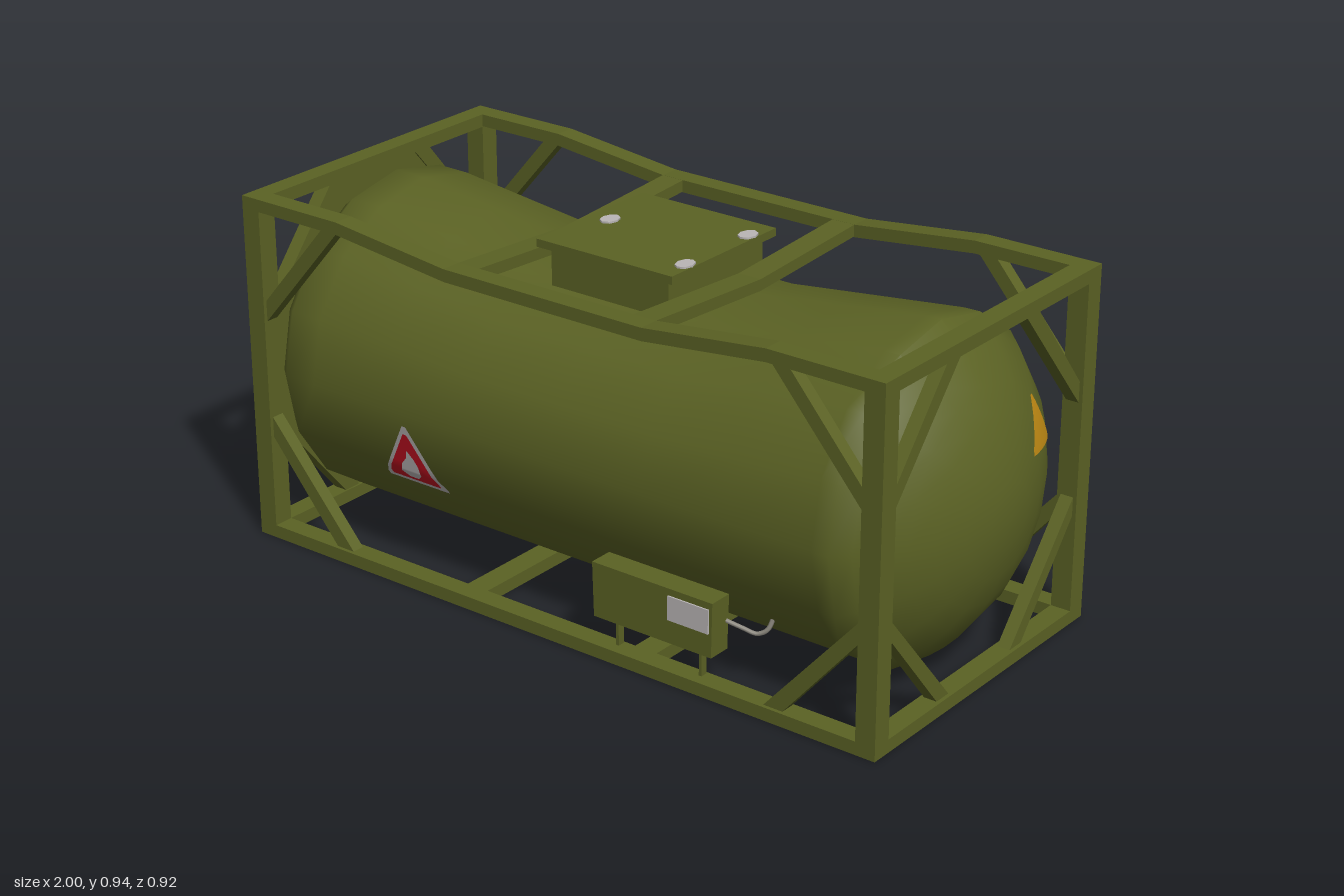
import * as THREE from 'three';
import { toCreasedNormals } from 'three/addons/utils/BufferGeometryUtils.js';

const mat = (name, color, side = THREE.FrontSide) =>
  Object.assign(new THREE.MeshStandardMaterial({ color, side }), { name });

export function createModel() {
  const olive = mat('olive', 0x5b6224);
  const orange = mat('orange', 0xc08a14, THREE.DoubleSide);
  const red = mat('red', 0xc01020, THREE.DoubleSide);
  const white = mat('paleGrey', 0xbab6b6, THREE.DoubleSide);
  const steel = mat('steel', 0x8c887e);

  const model = new THREE.Group();
  model.name = 'tankContainer';
  const CX = -0.03, CZ = 0.0075;           // centre of the frame
  const TY = 0.465, R = 0.435;             // tank axis height and radius
  const mx = (x) => 2 * CX - x;            // mirror along the length

  const add = (name, geo, material = olive) => {
    const m = new THREE.Mesh(geo, material);
    m.name = name;
    model.add(m);
    return m;
  };
  // box from its limits; taper shrinks the bottom in x and z
  const box = (name, x0, x1, y0, y1, z0, z1, material = olive, taper = 1) => {
    const g = new THREE.BoxGeometry(x1 - x0, y1 - y0, z1 - z0);
    const p = g.attributes.position;
    for (let i = 0; i < p.count; i++) {
      if (p.getY(i) < 0) p.setXYZ(i, p.getX(i) * taper, p.getY(i), p.getZ(i) * taper);
    }
    g.computeVertexNormals();
    g.translate((x0 + x1) / 2, (y0 + y1) / 2, (z0 + z1) / 2);
    return add(name, g, material);
  };
  const extrude = (pts, depth) => new THREE.ExtrudeGeometry(
    new THREE.Shape(pts.map(([u, v]) => new THREE.Vector2(u, v))), { depth, bevelEnabled: false });
  // outline in x-y, thick along z
  const prismXY = (name, pts, z0, z1) => add(name, extrude(pts, z1 - z0).translate(0, 0, z0));
  // outline in z-y, thick along x
  const prismZY = (name, pts, x0, x1) =>
    add(name, extrude(pts, x1 - x0).rotateY(-Math.PI / 2).translate(x1, 0, 0));

  // Corner posts and end rails
  for (const [x0, x1] of [[-1, -0.945], [0.885, 0.94]]) {
    for (const [z0, z1] of [[0.405, 0.46], [-0.445, -0.39]]) box('cornerPost', x0, x1, 0, 0.935, z0, z1);
    box('endRailBottom', x0, x1, 0, 0.035, -0.39, 0.405);
    box('endRailTop', x0, x1, 0.9, 0.935, -0.39, 0.405);
  }

  // Side rails, dipped top rails and side corner braces
  const dip = [[-0.945, 0.935], [-0.68, 0.935], [-0.33, 0.896]];
  const upper = [...dip, ...dip.map(([x, y]) => [mx(x), y]).reverse()];
  const railTop = [...upper, ...upper.map(([x, y]) => [x, y - 0.033]).reverse()];
  const braces = [
    [[-0.95, 0.6], [-0.95, 0.655], [-0.73, 0.91], [-0.68, 0.91]],
    [[-0.95, 0.29], [-0.95, 0.345], [-0.675, 0.03], [-0.73, 0.03]],
  ];
  for (const [z0, z1] of [[0.405, 0.46], [-0.445, -0.39]]) {
    box('sideRailBottom', -0.945, 0.885, 0, 0.035, z0, z1);
    prismXY('sideRailTop', railTop, z0, z1);
    for (const b of braces) {
      prismXY('sideBrace', b, z0 + 0.01, z1 - 0.01);
      prismXY('sideBrace', b.map(([x, y]) => [mx(x), y]), z0 + 0.01, z1 - 0.01);
    }
  }

  // End corner braces
  const endBraces = [
    [[0.4, 0.59], [0.4, 0.645], [0.185, 0.905], [0.13, 0.905]],
    [[0.4, 0.295], [0.4, 0.345], [0.13, 0.03], [0.18, 0.03]],
  ];
  for (const [x0, x1] of [[-0.99, -0.95], [0.895, 0.93]])
    for (const b of endBraces)
      for (const s of [1, -1]) prismZY('endBrace', b.map(([z, y]) => [CZ + s * z, y]), x0, x1);

  // Cross bars: sagging on top, straight below
  const sag = [[0.41, 0.896], [0, 0.872], [-0.395, 0.896], [-0.395, 0.865], [0, 0.842], [0.41, 0.865]];
  for (const x of [-0.33, 0.205]) {
    prismZY('crossBarTop', sag, x, x + 0.065);
    box('crossBarBottom', x, x + 0.065, 0, 0.035, -0.39, 0.405);
  }

  // Octagonal end plate
  const oct = [[0.4, 0.32], [0.4, 0.615], [0.16, 0.9], [-0.16, 0.9],
    [-0.4, 0.615], [-0.4, 0.32], [-0.16, 0.035], [0.16, 0.035]];
  prismZY('endPlate', oct.map(([z, y]) => [z + CZ, y]), -0.975, -0.955);

  // Tank: flat at one end, domed at the other, upper half sagging in the middle
  const RD = 0.55;
  const domeX = (r) => 1 - RD + Math.sqrt(RD * RD - r * r);
  const profile = [[0, -0.95], [0.35, -0.95], [0.405, -0.932], [R, -0.895], [R, -0.8], [R, -0.56],
    [R, -0.31], [R, -0.03], [R, 0.25], [R, 0.5], [R, 0.74]];
  for (const r of [R, 0.4, 0.36, 0.3, 0.24, 0.16, 0.08, 0]) profile.push([r, domeX(r)]);
  const tank = new THREE.LatheGeometry(profile.map(([r, x]) => new THREE.Vector2(r, x)), 16);
  tank.rotateZ(-Math.PI / 2);
  const tp = tank.attributes.position;
  for (let i = 0; i < tp.count; i++) {
    const t = THREE.MathUtils.clamp((Math.abs(tp.getX(i) - CX) - 0.28) / 0.5, 0, 1);
    if (tp.getY(i) > 0) tp.setY(i, tp.getY(i) * (0.85 + 0.15 * t));
  }
  add('tank', toCreasedNormals(tank, 0.8).translate(0, TY, CZ));

  // Hatch with lid and latches
  box('hatchBody', -0.22, 0.14, 0.79, 0.9, -0.185, 0.19);
  box('hatchLid', -0.25, 0.165, 0.897, 0.918, -0.205, 0.21);
  for (const [x, z] of [[-0.19, 0], [0.143, -0.12], [0.143, 0.13]]) {
    const g = new THREE.CylinderGeometry(0.03, 0.03, 0.006, 8).scale(0.75, 1, 1);
    add('hatchLatch', g.translate(x, 0.92, z), white);
  }

  // Front equipment box on legs, with label plate and hose
  box('equipmentBox', 0.11, 0.47, 0.105, 0.25, 0.385, 0.45, olive, 0.98);
  for (const x of [0.17, 0.42]) box('boxLeg', x - 0.004, x + 0.004, 0.03, 0.106, 0.41, 0.43);
  box('labelPlate', 0.34, 0.46, 0.168, 0.232, 0.449, 0.454, white);
  const hose = new THREE.CatmullRomCurve3([[0.46, 0.185, 0.395], [0.5, 0.165, 0.372], [0.53, 0.152, 0.355],
    [0.553, 0.165, 0.345], [0.563, 0.195, 0.335]].map((p) => new THREE.Vector3(...p)));
  add('hose', new THREE.TubeGeometry(hose, 16, 0.006, 6), steel);

  // Rear tapered locker with lid
  box('locker', -0.12, 0.04, 0.03, 0.25, -0.443, -0.383, olive, 0.85);
  box('lockerLid', -0.14, 0.06, 0.245, 0.27, -0.46, -0.38);

  // Signs: rows [v, uLeft, uRight] laid on a surface given by map(u, v, lift)
  const decal = (name, rows, map, material, lift) => {
    const pos = [], idx = [], cols = 5, steps = 6;
    let n = 0;
    for (let k = 0; k < rows.length - 1; k++) {
      for (let s = k ? 1 : 0; s <= steps; s++, n++) {
        const [v, l, r] = rows[k].map((a, j) => THREE.MathUtils.lerp(a, rows[k + 1][j], s / steps));
        for (let c = 0; c <= cols; c++) {
          pos.push(...map(THREE.MathUtils.lerp(l, r, c / cols), v, lift));
          if (n && c < cols) {
            const a = n * (cols + 1) + c, b = a - cols - 1;
            idx.push(b, b + 1, a, b + 1, a + 1, a);
          }
        }
      }
    }
    const g = new THREE.BufferGeometry();
    g.setAttribute('position', new THREE.Float32BufferAttribute(pos, 3));
    g.setIndex(idx);
    g.computeVertexNormals();
    add(name, g, material);
  };
  const triangle = (w, h) => [[-h / 2, -w / 2, w / 2], [-h / 2 + 0.012, -w / 2, w / 2], [h / 2, -0.006, 0.006]];
  const flame = [[-0.5, -0.2, 0.2], [-0.3, -0.45, 0.45], [0, -0.35, 0.4], [0.25, -0.1, 0.25], [0.5, -0.05, 0]];
  const hazardSign = (w, h, map) => {
    decal('signBorder', triangle(w, h), map, white, 0.003);
    decal('signField', triangle(w * 0.8, h * 0.8), (u, v, l) => map(u, v - h * 0.03, l), red, 0.005);
    decal('signFlame', flame.map(([v, l, r]) => [v * h * 0.46, l * w * 0.36, r * w * 0.36]),
      (u, v, l) => map(u, v - h * 0.14, l), white, 0.007);
  };

  // depth of the lower tank wall at height y, following its facets
  const wall = Array.from({ length: 5 }, (_, i) => [R * Math.sin(i * Math.PI / 8), R * Math.cos(i * Math.PI / 8)]);
  const wallZ = (y) => {
    const d = Math.abs(TY - y);
    const i = Math.min(3, Math.max(0, wall.findIndex(([h]) => h > d) - 1));
    return THREE.MathUtils.mapLinear(d, wall[i][0], wall[i + 1][0], wall[i][1], wall[i + 1][1]);
  };
  for (const s of [1, -1])
    hazardSign(0.2, 0.175, (u, v, l) => [-0.5 + s * u, 0.343 + v, CZ + s * (wallZ(0.343 + v) + l)]);

  // end signs: plate and dome
  const onPlate = (z, y) => (u, v, l) => [-0.975 - l, y + v, z + u];
  hazardSign(0.14, 0.13, onPlate(-0.07, 0.22));
  decal('warningTriangle', triangle(0.14, 0.125), onPlate(0.03, 0.73), orange, 0.003);
  decal('warningTriangle', triangle(0.14, 0.125), (u, v, l) => {
    const z = -0.18 - u, y = 0.623 + v - u * 0.1;
    return [domeX(Math.hypot(z - CZ, y - TY)) + l, y, z];
  }, orange, 0.004);

  return model;
}
